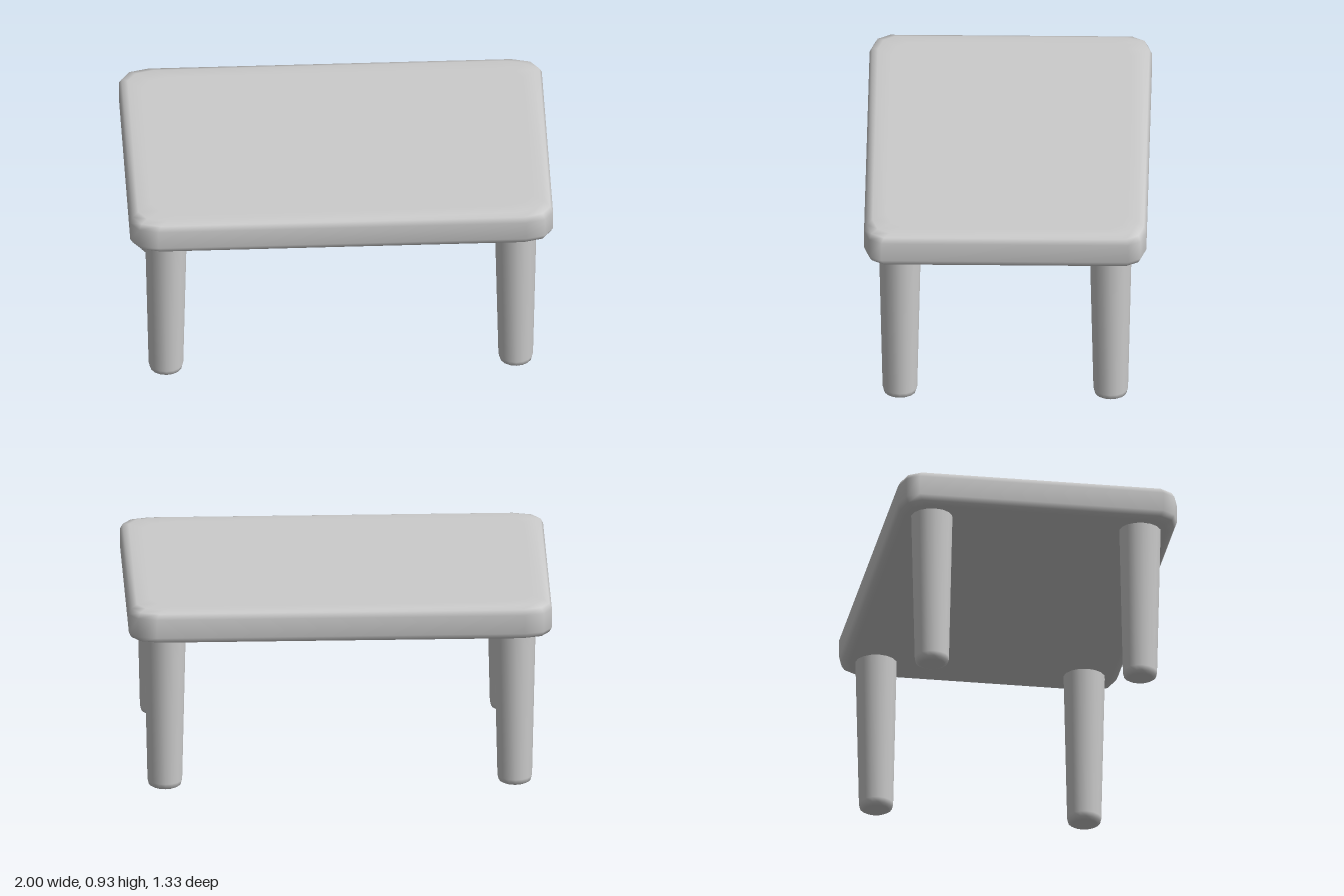
import * as THREE from 'three';

const material = new THREE.MeshStandardMaterial({ color: 0xcccccc });

// Slab outline: one chamfered corner mirrored into all four quadrants
function slabOutline() {
  const corner = [[1, 0.583], [0.96, 0.642], [0.87, 0.667]];
  const quadrants = [[1, 1], [-1, 1], [-1, -1], [1, -1]];
  return quadrants.flatMap(([sx, sz], q) => {
    const points = corner.map(([x, z]) => [x * sx, z * sz]);
    return q % 2 ? points.reverse() : points;
  });
}

// Rounded slab: the outline stacked in inset rings, closed by fans
function slabGeometry() {
  const outline = slabOutline();
  const n = outline.length;
  const rings = [ // inset, height
    [0.1, 0.765], [0.04, 0.766], [0.012, 0.776], [0, 0.802],
    [0, 0.893], [0.012, 0.919], [0.04, 0.929], [0.1, 0.93],
  ];
  const positions = [];
  const index = [];
  for (const [inset, y] of rings) {
    for (const [x, z] of outline) {
      positions.push(x - Math.sign(x) * inset, y, z - Math.sign(z) * inset);
    }
  }
  const last = rings.length - 1;
  const bottom = rings.length * n;
  const top = bottom + 1;
  positions.push(0, rings[0][1], 0, 0, rings[last][1], 0);
  for (let j = 0; j < n; j++) {
    const k = (j + 1) % n;
    for (let i = 0; i < last; i++) {
      const a = i * n + j, b = i * n + k;
      index.push(a, a + n, b, b, a + n, b + n);
    }
    index.push(bottom, j, k, top, last * n + k, last * n + j);
  }
  const geometry = new THREE.BufferGeometry();
  geometry.setAttribute('position', new THREE.Float32BufferAttribute(positions, 3));
  geometry.setIndex(index);
  geometry.computeVertexNormals();
  return geometry;
}

export function createModel() {
  const table = new THREE.Group();
  table.name = 'table';

  const tabletop = new THREE.Mesh(slabGeometry(), material);
  tabletop.name = 'tabletop';
  table.add(tabletop);

  // Tapered round legs with softened feet, set just into the slab
  const profile = [[0, 0], [0.055, 0], [0.062, 0.001], [0.076, 0.009], [0.082, 0.032], [0.099, 0.78]]
    .map(([r, y]) => new THREE.Vector2(r, y));
  const legGeometry = new THREE.LatheGeometry(profile, 16);
  for (const z of [0.498, -0.498]) {
    for (const x of [0.827, -0.827]) {
      const leg = new THREE.Mesh(legGeometry, material);
      leg.name = `${z > 0 ? 'front' : 'back'}${x > 0 ? 'Left' : 'Right'}Leg`;
      leg.position.set(x, 0, z);
      table.add(leg);
    }
  }
  return table;
}
